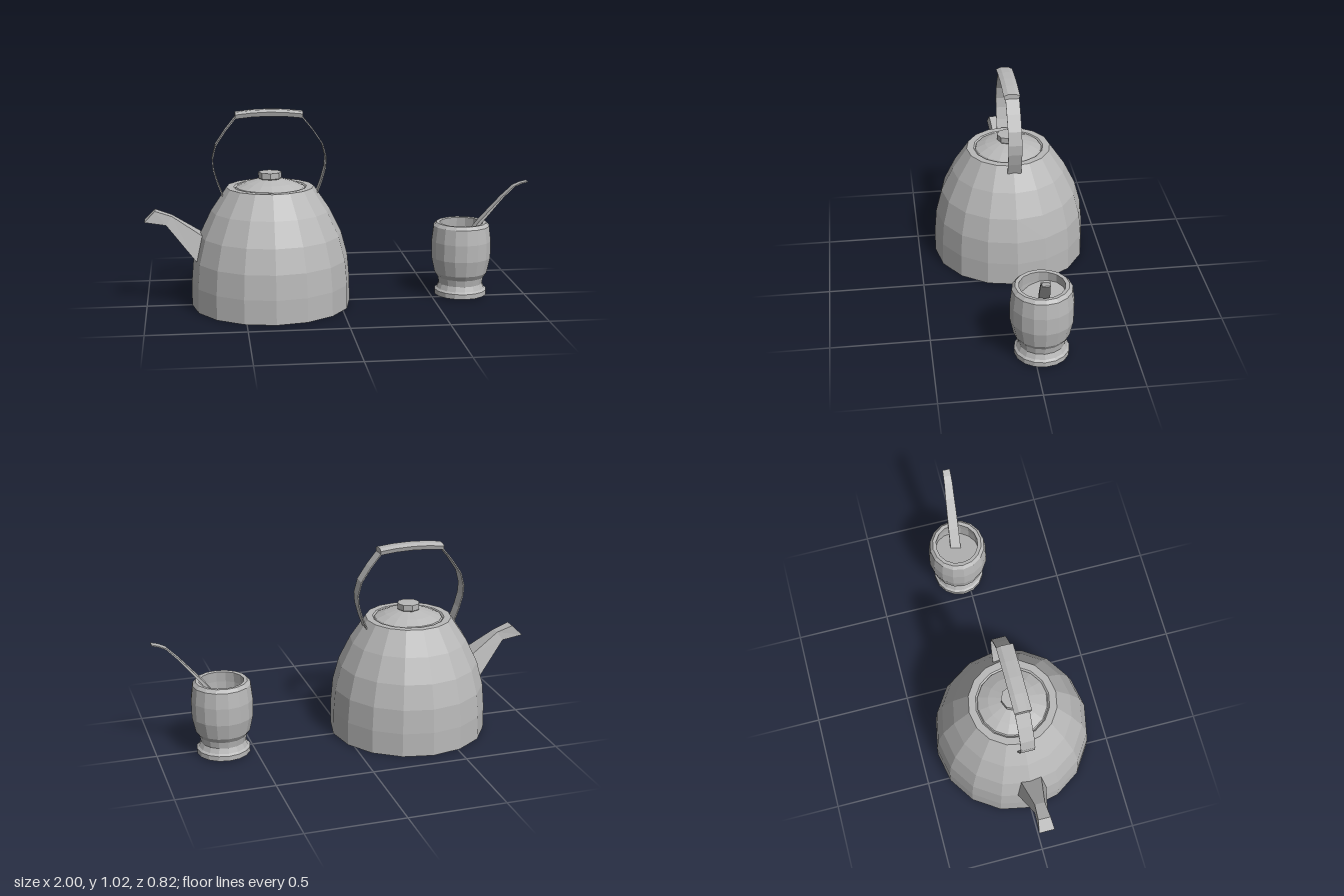
import * as THREE from 'three';

const metal = new THREE.MeshStandardMaterial({ color: 0xb8b8b8, flatShading: true });
metal.name = 'plain grey';

function add(parent, name, geometry, x = 0, y = 0, z = 0) {
  const mesh = new THREE.Mesh(geometry, metal);
  mesh.name = name;
  mesh.position.set(x, y, z);
  parent.add(mesh);
  return mesh;
}

const lathe = (profile, sides = 16) =>
  new THREE.LatheGeometry(profile.map(([r, y]) => new THREE.Vector2(r, y)), sides);

// Closed skin through rings of points, each ring counterclockwise about the direction of travel
function loft(rings) {
  const n = rings[0].length, last = (rings.length - 1) * n, index = [];
  for (let i = 0; i < rings.length - 1; i++) {
    for (let j = 0; j < n; j++) {
      const a = i * n + j, b = i * n + (j + 1) % n;
      index.push(a, b, b + n, a, b + n, a + n);
    }
  }
  for (let j = 1; j < n - 1; j++) index.push(0, j + 1, j, last, last + j, last + j + 1);
  const g = new THREE.BufferGeometry();
  g.setAttribute('position', new THREE.Float32BufferAttribute(rings.flat(2), 3));
  g.setIndex(index);
  const flat = g.toNonIndexed();
  flat.computeVertexNormals();
  return flat;
}

// Flat band along a path of [x, y, z, half width, half thickness]
function band(path) {
  return loft(path.map(([x, y, z, w, h], i) => {
    const p = path[Math.max(i - 1, 0)], q = path[Math.min(i + 1, path.length - 1)];
    const len = Math.hypot(q[0] - p[0], q[1] - p[1]);
    const nx = -(q[1] - p[1]) / len * h, ny = (q[0] - p[0]) / len * h;
    return [[x + nx, y + ny, z - w], [x + nx, y + ny, z + w],
      [x - nx, y - ny, z + w], [x - nx, y - ny, z - w]];
  }));
}

export function createModel() {
  const model = new THREE.Group();

  // Kettle
  const kettle = new THREE.Group();
  kettle.name = 'kettle';
  kettle.position.x = -0.355;
  model.add(kettle);
  add(kettle, 'kettleBody', lathe([[0, 0], [0.412, 0], [0.411, 0.125], [0.4, 0.25],
    [0.367, 0.375], [0.306, 0.5], [0.225, 0.62], [0.188, 0.62], [0.18, 0.612], [0, 0.612]]));
  add(kettle, 'lid', lathe([[0.18, 0.612], [0.175, 0.62], [0.125, 0.642], [0.06, 0.66], [0, 0.664]]));
  add(kettle, 'lidKnob', lathe([[0.045, 0.65], [0.06, 0.665], [0.06, 0.695], [0, 0.697]], 8));

  // Spout: rings of lower and upper edge with their half widths
  const spout = [[-0.33, 0.22, -0.29, 0.36, 0.085, 0.06], [-0.385, 0.25, -0.345, 0.375, 0.077, 0.055],
    [-0.535, 0.435, -0.505, 0.48, 0.034, 0.026], [-0.645, 0.455, -0.59, 0.51, 0.04, 0.032]];
  add(kettle, 'spout', loft(spout.map(([bx, by, tx, ty, bw, tw]) =>
    [[bx, by, -bw], [bx, by, bw], [tx, ty, tw], [tx, ty, -tw]])), 0, 0, 0.008);

  // Handle: two bent straps and an arched grip
  const strap = [[0.24, 0.575], [0.268, 0.65], [0.286, 0.715], [0.29, 0.77],
    [0.272, 0.84], [0.222, 0.915], [0.165, 0.985]];
  for (const side of [1, -1]) {
    add(kettle, side > 0 ? 'leftHandleStrap' : 'rightHandleStrap',
      band(strap.map(([x, y]) => [side * x - 0.003, y, -0.003, 0.036, 0.003])));
  }
  add(kettle, 'handleGrip', loft([[-0.172, 0], [-0.085, 0.009], [0, 0.012], [0.085, 0.009], [0.172, 0]]
    .map(([x, lift]) => [[0.975, -0.036], [0.997, -0.043], [1.007, -0.02], [1.007, 0.02],
      [0.997, 0.043], [0.975, 0.036]].map(([y, z]) => [x - 0.003, y + lift, z]))));

  // Gourd cup with a hollow inside
  const cup = new THREE.Group();
  cup.name = 'cup';
  cup.position.set(0.66, 0, -0.04);
  model.add(cup);
  add(cup, 'cupBody', lathe([[0, 0.007], [0.138, 0.007], [0.138, 0.033], [0.127, 0.042],
    [0.116, 0.068], [0.122, 0.102], [0.14, 0.128], [0.158, 0.21], [0.159, 0.3],
    [0.149, 0.38], [0.133, 0.397], [0.114, 0.395], [0.12, 0.34], [0.122, 0.24], [0, 0.24]]));

  // Sloping leaves inside the cup
  const leaves = new THREE.CircleGeometry(0.12, 16).rotateX(-Math.PI / 2);
  const p = leaves.attributes.position;
  for (let i = 0; i < p.count; i++) p.setY(i, 0.31 - 0.22 * (p.getX(i) + p.getZ(i)));
  leaves.computeVertexNormals();
  add(cup, 'leaves', leaves);

  // Curved drinking straw
  add(model, 'drinkingStraw', band([[0.66, 0.27, -0.047, 0.028, 0.009], [0.755, 0.395, -0.036, 0.027, 0.008],
    [0.81, 0.46, -0.029, 0.026, 0.006], [0.87, 0.53, -0.022, 0.024, 0.004],
    [0.93, 0.59, -0.014, 0.022, 0.003], [0.965, 0.606, -0.011, 0.021, 0.003], [1, 0.615, -0.008, 0.02, 0.003]]));

  return model;
}
